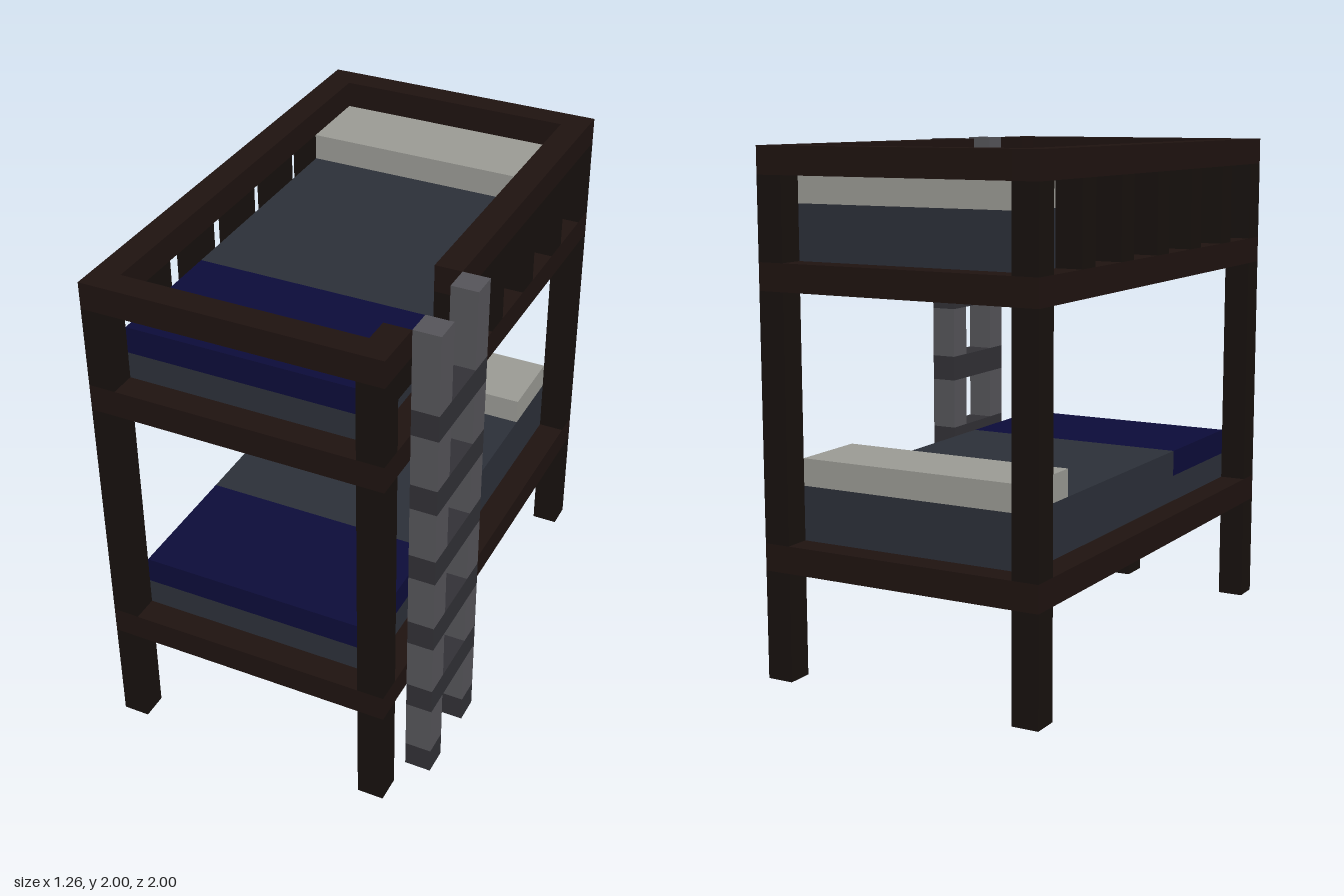
import * as THREE from 'three';

const U = 2 / 19; // the whole bed sits on a 19-unit grid

const paint = (color) => new THREE.MeshStandardMaterial({ color, flatShading: true });

export function createModel() {
  const model = new THREE.Group();
  const railMat = paint(0x1f1310), postMat = paint(0x17110e);
  const sheetMat = paint(0x2c3039), blanketMat = paint(0x0c0c3a), pillowMat = paint(0x9b9b95);
  const ladderMat = paint(0x56555a), rungMat = paint(0x323136);

  // box from min/max grid coordinates on each axis
  function block(name, mat, [x0, x1], [y0, y1], [z0, z1], parent = model) {
    const geo = new THREE.BoxGeometry((x1 - x0) * U, (y1 - y0) * U, (z1 - z0) * U);
    const mesh = new THREE.Mesh(geo, mat);
    mesh.position.set((x0 + x1) / 2 * U, (y0 + y1) / 2 * U, (z0 + z1) / 2 * U);
    mesh.name = name;
    parent.add(mesh);
  }
  function part(name) {
    const g = new THREE.Group();
    g.name = name;
    model.add(g);
    return g;
  }

  const left = [4, 5], right = [-6, -5], inner = [-5, 4];
  const full = [-9.5, 9.5], front = [8.5, 9.5], back = [-9.5, -8.5];

  // corner posts, interrupted by the rails
  const posts = part('cornerPosts');
  for (const x of [left, right])
    for (const z of [front, back])
      for (const y of [[0, 4], [5, 14], [15, 18]]) block('post', postMat, x, y, z, posts);

  // rail frames: two bed bases and the top rail, which opens at the ladder
  for (const y of [4, 14, 18]) {
    const frame = part(y === 18 ? 'topRail' : 'bedFrame');
    const h = [y, y + 1];
    block('endRail', railMat, inner, h, front, frame);
    block('endRail', railMat, inner, h, back, frame);
    block('sideRail', railMat, right, h, full, frame);
    if (y < 18) block('sideRail', railMat, left, h, full, frame);
    else {
      block('sideRail', railMat, left, h, [-9.5, 3.5], frame);
      block('sideRailStub', railMat, left, h, [7.5, 9.5], frame);
    }
  }

  // guard balusters
  const guard = part('guardBalusters');
  for (const z of [-6, -3, 0, 3, 6]) {
    const span = [z - 0.5, z + 0.5];
    block('baluster', postMat, right, [15, 18], span, guard);
    if (z < 6) block('baluster', postMat, left, [15, 18], span, guard);
  }
  block('guardStub', postMat, left, [17, 18], [7.5, 8.5], guard);

  // slats, mattress, blanket and pillow of each bunk
  for (const y of [4, 14]) {
    const bunk = part(y === 4 ? 'lowerBunk' : 'upperBunk');
    for (let z = -8; z <= 8; z += 2)
      block('slat', postMat, inner, [y, y + 1], [z - 0.5, z + 0.5], bunk);
    block('mattress', sheetMat, inner, [y + 1, y + 2], [-8.5, 8.5], bunk);
    block('mattressTop', sheetMat, inner, [y + 2, y + 3], [-8.5, 3.5], bunk);
    block('blanket', blanketMat, inner, [y + 2, y + 3], [3.5, 8.5], bunk);
    block('pillow', pillowMat, inner, [y + 3, y + 4], [-8.5, -5.5], bunk);
  }
  block('centreBeam', postMat, inner, [3, 4], [-0.5, 0.5]);

  // ladder: rungs run through the uprights
  const ladder = part('ladder');
  const lx = [5, 6];
  for (const z of [[3.5, 4.5], [6.5, 7.5]]) {
    block('ladderFoot', rungMat, lx, [0, 1], z, ladder);
    for (let y = 1; y <= 16; y += 3)
      block('ladderUpright', ladderMat, lx, [y, y === 16 ? 19 : y + 2], z, ladder);
  }
  for (let y = 3; y <= 15; y += 3) block('rung', rungMat, lx, [y, y + 1], [3.5, 7.5], ladder);

  return model;
}
